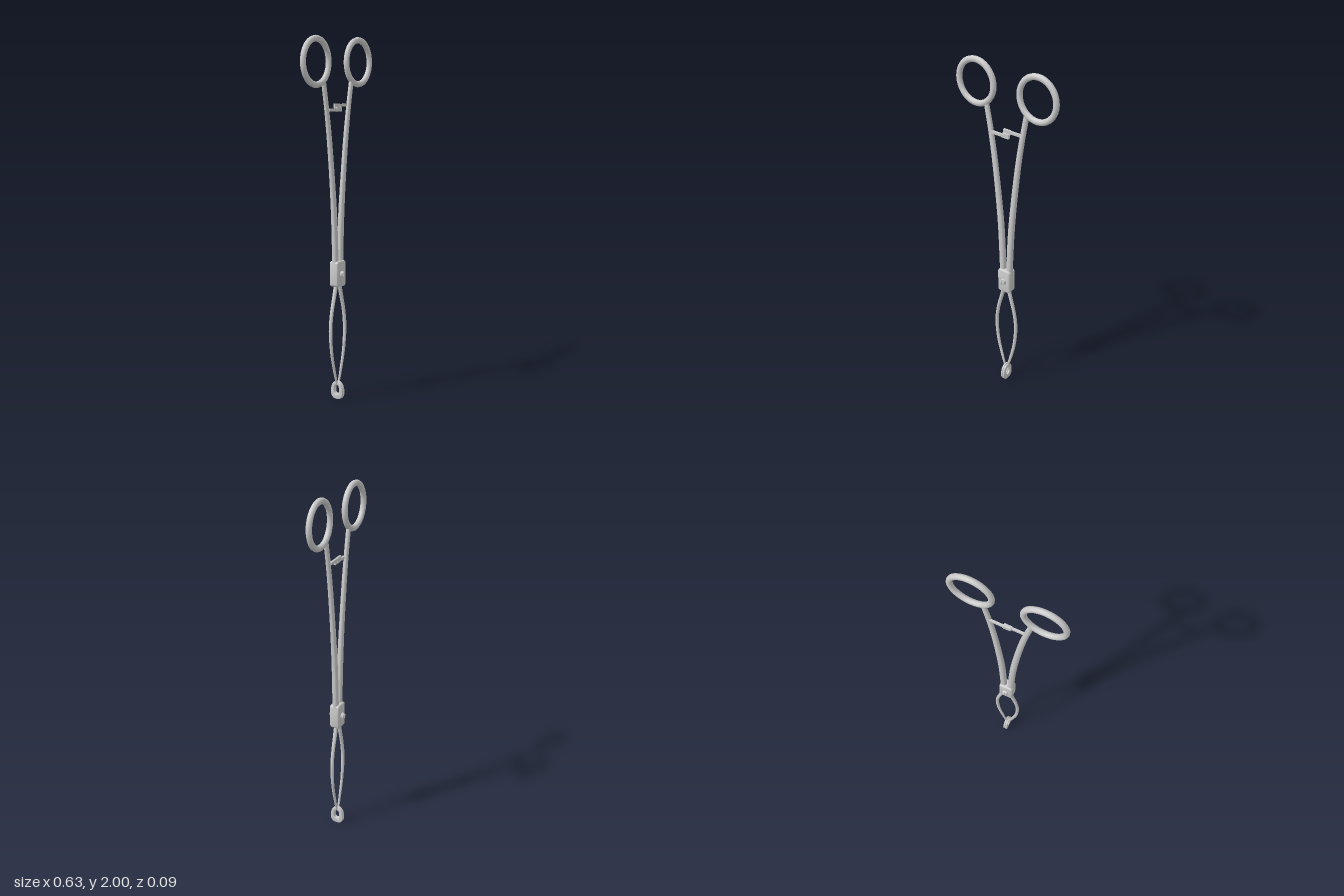
import * as THREE from 'three';
import { toCreasedNormals } from 'three/addons/utils/BufferGeometryUtils.js';

const metal = new THREE.MeshStandardMaterial({ color: 0xcccccc });

function add(parent, name, geometry, x = 0, y = 0, z = 0) {
  const mesh = new THREE.Mesh(geometry, metal);
  mesh.name = name;
  mesh.position.set(x, y, z);
  parent.add(mesh);
  return mesh;
}

// Tapered elliptical bar in the xy plane; stations are [x, y, halfWidth, halfDepth]
function taperedBar(stations, side, steps = 28, sides = 12) {
  const path = new THREE.CatmullRomCurve3(stations.map(s => new THREE.Vector3(side * s[0], s[1], 0)), false, 'catmullrom', 0.5);
  const size = new THREE.CatmullRomCurve3(stations.map(s => new THREE.Vector3(s[2], s[3], 0)), false, 'catmullrom', 0.5);
  const pos = [], index = [];
  for (let i = 0; i <= steps; i++) {
    const t = i / steps, p = path.getPoint(t), r = size.getPoint(t), d = path.getTangent(t);
    for (let j = 0; j < sides; j++) {
      const a = j / sides * Math.PI * 2, w = Math.cos(a) * r.x;
      pos.push(p.x - d.y * w, p.y + d.x * w, Math.sin(a) * r.y);
      if (i < steps) {
        const k = i * sides + j, n = i * sides + (j + 1) % sides;
        index.push(k, k + sides, n, n, k + sides, n + sides);
      }
    }
  }
  // End caps
  const last = steps * sides;
  for (let j = 1; j < sides - 1; j++) {
    index.push(0, j, j + 1, last, last + j + 1, last + j);
  }
  // Stations run downward or upward: keep faces pointing outward
  const g = new THREE.BufferGeometry();
  g.setAttribute('position', new THREE.Float32BufferAttribute(pos, 3));
  g.setIndex(orientOutward(pos, index));
  return toCreasedNormals(g, 0.9);
}

// Flip every triangle if the enclosed volume is negative
function orientOutward(pos, index) {
  const v = i => new THREE.Vector3().fromArray(pos, i * 3);
  let volume = 0;
  for (let i = 0; i < index.length; i += 3) {
    volume += v(index[i]).dot(v(index[i + 1]).cross(v(index[i + 2])));
  }
  return volume < 0 ? index.slice().reverse() : index;
}

function roundedRect(w, h, r) {
  const s = new THREE.Shape();
  s.absarc(w - r, h - r, r, 0, Math.PI / 2);
  s.absarc(r - w, h - r, r, Math.PI / 2, Math.PI);
  s.absarc(r - w, r - h, r, Math.PI, Math.PI * 1.5);
  s.absarc(w - r, r - h, r, Math.PI * 1.5, Math.PI * 2);
  s.closePath();
  return s;
}

// Pear-shaped outline for the gripping tips
function pearPoints(w, bottom, top) {
  const mid = (bottom + top) / 2, h = (top - bottom) / 2;
  return Array.from({ length: 28 }, (_, i) => {
    const a = i / 28 * Math.PI * 2, c = Math.cos(a), s = Math.sin(a);
    const x = Math.sign(c) * Math.pow(Math.abs(c), 0.8) * w * (1 - 0.12 * s);
    return new THREE.Vector2(x, mid + Math.sign(s) * Math.pow(Math.abs(s), 0.85) * h);
  });
}

function tipGeometry() {
  const shape = new THREE.Shape(pearPoints(0.036, 0.003, 0.1));
  shape.holes.push(new THREE.Path(pearPoints(0.019, 0.028, 0.087)));
  const g = new THREE.ExtrudeGeometry(shape, {
    depth: 0.005, bevelEnabled: true, bevelThickness: 0.003, bevelSize: 0.003, bevelSegments: 2,
  });
  g.translate(0, 0, -0.0025);
  g.rotateY(Math.PI / 2);
  return toCreasedNormals(g, 0.8);
}

const handle = [
  [0.02, 0.7, 0.018, 0.018], [0.024, 0.84, 0.019, 0.017], [0.034, 1.05, 0.019, 0.016],
  [0.052, 1.25, 0.018, 0.014], [0.076, 1.46, 0.017, 0.013], [0.1, 1.62, 0.016, 0.012],
  [0.126, 1.76, 0.015, 0.012],
];
const jaw = [
  [0.012, 0.67, 0.013, 0.012], [0.03, 0.6, 0.011, 0.011], [0.056, 0.5, 0.01, 0.01],
  [0.067, 0.4, 0.01, 0.01], [0.057, 0.28, 0.01, 0.008], [0.033, 0.175, 0.009, 0.007],
  [0.008, 0.088, 0.006, 0.006],
];

export function createModel() {
  const model = new THREE.Group();
  model.name = 'ringForceps';

  for (const side of [-1, 1]) {
    const half = new THREE.Group();
    half.name = side > 0 ? 'leftHalf' : 'rightHalf';
    model.add(half);
    add(half, 'handle', taperedBar(handle, side));
    add(half, 'jaw', taperedBar(jaw, side));
    add(half, 'jawTip', tipGeometry(), side * 0.0065);

    // Slightly oval finger ring
    const ring = new THREE.TorusGeometry(0.11, 0.016, 10, 36);
    ring.scale(1, 1.08, 1);
    add(half, 'fingerRing', ring, side * 0.191, 1.864);

    // Ratchet bar with a toothed end overlapping its partner
    const y = side > 0 ? 1.634 : 1.612, z = side * -0.007;
    add(half, 'ratchetBar', new THREE.BoxGeometry(0.115, 0.015, 0.012), side * 0.035, y, z);
    add(half, 'ratchetCatch', new THREE.BoxGeometry(0.044, 0.024, 0.012), 0, y - side * 0.002, z);
    for (let i = 0; i < 3; i++) {
      const tooth = new THREE.CylinderGeometry(0.006, 0.006, 0.012, 3);
      tooth.rotateX(Math.PI / 2);
      add(half, 'ratchetTooth', toCreasedNormals(tooth, 0.3), (i - 1) * 0.013, y - side * 0.012, z);
    }
  }

  // Box lock with bevelled faces
  const lock = new THREE.ExtrudeGeometry(roundedRect(0.032, 0.064, 0.007), {
    depth: 0.04, bevelEnabled: true, bevelThickness: 0.008, bevelSize: 0.008, bevelSegments: 3, curveSegments: 4,
  });
  lock.translate(0, 0, -0.02);
  add(model, 'boxLock', toCreasedNormals(lock, 0.6), 0, 0.717);

  // Slotted pivot screw on both faces
  for (const face of [-1, 1]) {
    const screw = new THREE.Group();
    screw.name = face > 0 ? 'frontScrew' : 'backScrew';
    screw.position.set(0, 0.716, face * 0.027);
    model.add(screw);
    const base = new THREE.CylinderGeometry(0.016, 0.019, 0.008, 20);
    base.rotateX(face * Math.PI / 2);
    add(screw, 'screwBase', toCreasedNormals(base, 0.6), 0, 0, face * 0.004);
    for (const s of [-1, 1]) {
      const head = new THREE.Shape();
      const a = 0.2;
      head.absarc(0, 0, 0.014, a - Math.PI / 2, Math.PI / 2 - a);
      head.closePath();
      const g = new THREE.ExtrudeGeometry(head, {
        depth: 0.005, bevelEnabled: true, bevelThickness: 0.0015, bevelSize: 0.0015, bevelSegments: 2, curveSegments: 12,
      });
      g.translate(0, 0, -0.0025);
      if (s < 0) g.rotateZ(Math.PI);
      add(screw, 'screwHeadHalf', toCreasedNormals(g, 0.6), 0, 0, face * 0.0115);
    }
  }
  return model;
}
